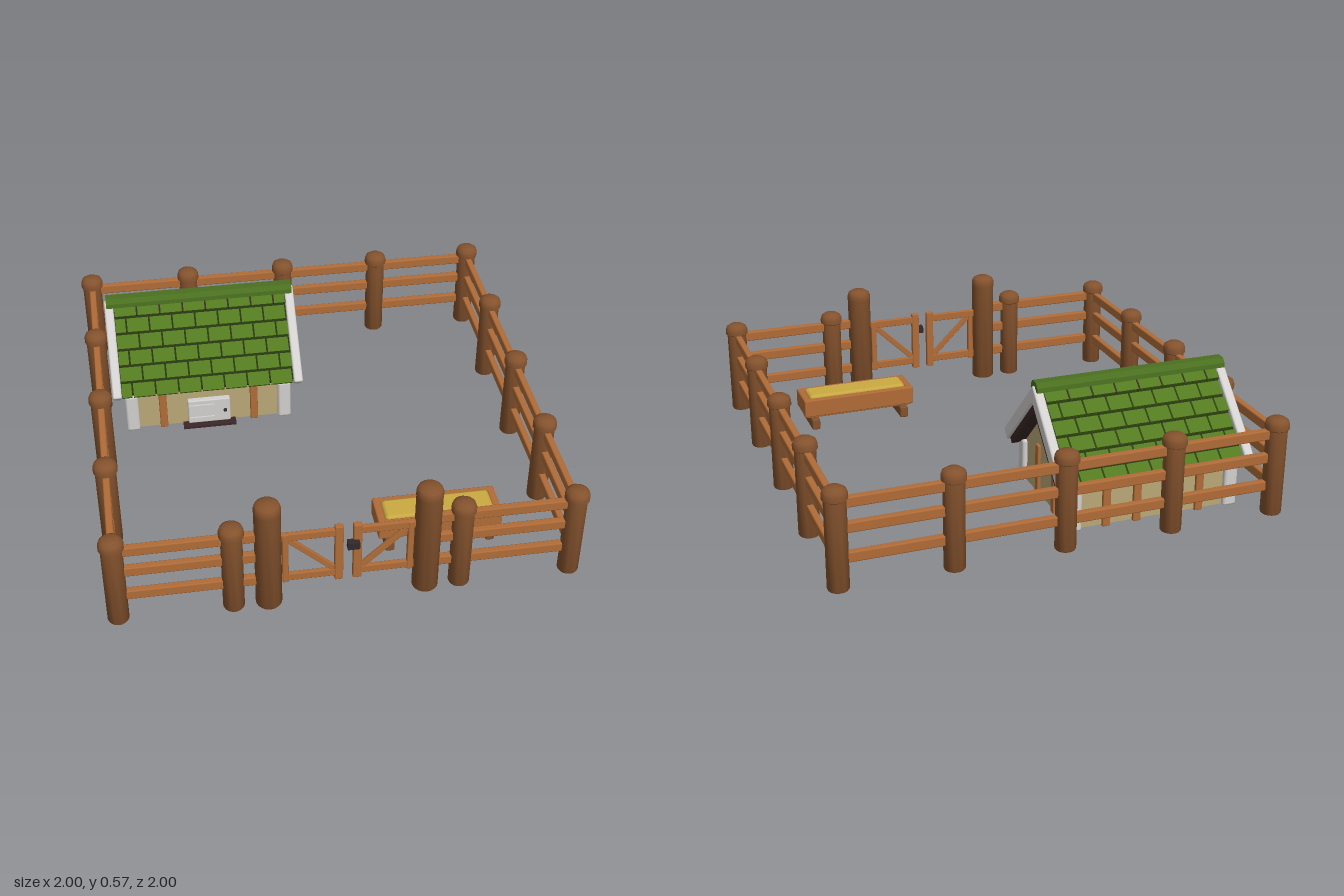
import * as THREE from 'three';
import { toCreasedNormals } from 'three/addons/utils/BufferGeometryUtils.js';
import { RoundedBoxGeometry } from 'three/addons/geometries/RoundedBoxGeometry.js';

const mat = (name, color) => {
  const m = new THREE.MeshStandardMaterial({ color });
  m.name = name;
  return m;
};

export function createModel() {
  const postWood = mat('post wood', 0x84522d);
  const railWood = mat('rail wood', 0xb06c38);
  const moss = mat('roof green', 0x537a20);
  const mossDark = mat('dark roof gaps', 0x25330f);
  const ridgeGreen = mat('ridge green', 0x4b7020);
  const stone = mat('pale trim', 0xd2d1cf);
  const plaster = mat('plaster', 0xbaa877);
  const eaveDark = mat('dark eaves', 0x3a2827);
  const hayYellow = mat('hay', 0xcbaa42);
  const iron = mat('iron', 0x33292a);

  const model = new THREE.Group();
  model.name = 'paddock';
  const group = (name, parent = model) => {
    const g = new THREE.Group();
    g.name = name;
    parent.add(g);
    return g;
  };
  const add = (parent, name, geo, material, x = 0, y = 0, z = 0) => {
    const m = new THREE.Mesh(geo, material);
    m.name = name;
    m.position.set(x, y, z);
    parent.add(m);
    return m;
  };
  // box with slightly eased edges
  const beam = (parent, name, material, w, h, d, x, y, z) =>
    add(parent, name, new RoundedBoxGeometry(w, h, d, 1, Math.min(w, h, d) * 0.2), material, x, y, z);

  // --- Fence posts with domed tops ---
  const postGeometry = (r, cap, h) => toCreasedNormals(new THREE.LatheGeometry([
    [0, 0], [r * 0.93, 0], [r, 0.006], [r, h - 0.055], [cap, h - 0.05], [cap, h - 0.03],
    [cap * 0.9, h - 0.014], [cap * 0.6, h - 0.003], [0, h],
  ].map(([x, y]) => new THREE.Vector2(x, y)), 18), 0.7);
  const E = 0.947, H = E / 2;
  const fence = group('fence');
  const post = postGeometry(0.045, 0.052, 0.44);
  for (const t of [-E, -H, 0, H, E]) {
    add(fence, 'backPost', post, postWood, t, 0, -E);
    if (t !== 0) add(fence, 'frontPost', post, postWood, t, 0, E);
    if (Math.abs(t) < E) for (const s of [-1, 1]) add(fence, 'sidePost', post, postWood, s * E, 0, t);
  }
  const gatePost = postGeometry(0.055, 0.056, 0.543);
  for (const x of [-0.328, 0.328]) add(fence, 'gatePost', gatePost, postWood, x, 0, E);

  // --- Three rails on every run ---
  for (const y of [0.133, 0.26, 0.368]) {
    beam(fence, 'backRail', railWood, 2 * E, 0.045, 0.03, 0, y, -E);
    for (const s of [-1, 1]) {
      beam(fence, 'sideRail', railWood, 0.03, 0.045, 2 * E, s * E, y, 0);
      beam(fence, 'frontRail', railWood, E - 0.328, 0.045, 0.03, s * (E + 0.328) / 2, y, E);
    }
  }

  // --- Pair of gate leaves, mirrored ---
  for (const s of [-1, 1]) {
    const leaf = group(s < 0 ? 'rightGate' : 'leftGate');
    leaf.position.z = E;
    beam(leaf, 'meetingStile', railWood, 0.036, 0.29, 0.026, s * 0.038, 0.235, 0);
    beam(leaf, 'hingeStile', railWood, 0.026, 0.26, 0.024, s * 0.258, 0.235, 0);
    for (const y of [0.13, 0.348])
      beam(leaf, 'gateRail', railWood, 0.25, 0.036, 0.02, s * 0.16, y, 0);
    const brace = beam(leaf, 'brace', railWood, 0.28, 0.026, 0.016, s * 0.148, 0.238, 0);
    brace.rotation.z = s * 0.77;
  }
  add(model, 'latch', new THREE.BoxGeometry(0.05, 0.034, 0.03), iron, 0.018, 0.287, 0.967);

  // --- Feeding trough ---
  const trough = group('trough');
  trough.position.set(0.445, 0, 0.638);
  for (const s of [-1, 1]) {
    beam(trough, 'foot', postWood, 0.04, 0.055, 0.195, s * 0.22, 0.0275, 0);
    beam(trough, 'longSide', railWood, 0.54, 0.085, 0.03, 0, 0.108, s * 0.072);
    beam(trough, 'shortSide', railWood, 0.035, 0.085, 0.15, s * 0.2525, 0.108, 0);
  }
  beam(trough, 'base', railWood, 0.52, 0.025, 0.15, 0, 0.068, 0);
  beam(trough, 'hay', hayYellow, 0.475, 0.08, 0.118, 0, 0.122, 0);

  // --- Hut walls: gabled block ---
  const hut = group('hut');
  hut.position.set(-0.45, 0, -0.55);
  const gable = new THREE.Shape([[-0.27, 0.006], [0.27, 0.006], [0.27, 0.2], [0, 0.47], [-0.27, 0.2]]
    .map(([x, y]) => new THREE.Vector2(x, y)));
  const wallGeo = new THREE.ExtrudeGeometry(gable, { depth: 0.74, bevelEnabled: false });
  wallGeo.translate(0, 0, -0.37).rotateY(Math.PI / 2);
  add(hut, 'walls', wallGeo, plaster);
  for (const sx of [-1, 1]) {
    for (const sz of [-1, 1]) {
      beam(hut, 'cornerPost', stone, 0.062, 0.2, 0.062, sx * 0.36, 0.1, sz * 0.26);
      beam(hut, 'gableTimber', railWood, 0.024, 0.24, 0.034, sx * 0.372, 0.12, sz * 0.09);
      beam(hut, 'wallTimber', railWood, 0.036, 0.2, 0.024, sx * 0.215, 0.1, sz * 0.272);
    }
    beam(hut, 'backTimber', railWood, 0.036, 0.2, 0.024, sx * 0.075, 0.1, -0.272);
  }

  // --- Door with strap hinges, knob and step ---
  const door = group('door', hut);
  beam(door, 'doorPanel', stone, 0.2, 0.13, 0.03, 0, 0.085, 0.285);
  for (const y of [0.05, 0.12]) add(door, 'hinge', new THREE.BoxGeometry(0.12, 0.014, 0.01), stone, -0.035, y, 0.303);
  add(door, 'knob', new THREE.SphereGeometry(0.009, 10, 8), iron, 0.075, 0.085, 0.304);
  add(door, 'step', new THREE.BoxGeometry(0.25, 0.012, 0.06), eaveDark, 0, 0.006, 0.285);

  // --- Roof: two mirrored slopes; local +z runs down the slope ---
  for (const turn of [0, Math.PI]) {
    const side = group(turn ? 'backRoof' : 'frontRoof', hut);
    side.position.y = 0.545;
    side.rotation.y = turn;
    const slope = group('slope', side);
    slope.rotation.x = Math.PI / 4;
    add(slope, 'eaveBoard', new THREE.BoxGeometry(0.83, 0.05, 0.44), eaveDark, 0, -0.046, 0.22);
    add(slope, 'underlay', new THREE.BoxGeometry(0.81, 0.01, 0.435), mossDark, 0, -0.016, 0.22);
    for (const s of [-1, 1]) {
      beam(slope, 'vergeBoard', stone, 0.043, 0.058, 0.465, s * 0.4235, -0.018, 0.2245);
      add(slope, 'innerVerge', new THREE.BoxGeometry(0.034, 0.03, 0.44), eaveDark, s * 0.417, -0.06, 0.215);
    }
    // staggered shingles, clipped at the verges
    for (let row = 0; row < 6; row++) {
      for (let i = 0; i < 9; i++) {
        const start = -0.4 + (i - (row % 2) * 0.5) * 0.107;
        const a = Math.max(start, -0.4), b = Math.min(start + 0.099, 0.4);
        if (b - a < 0.02) continue;
        const tile = add(slope, 'shingle', new THREE.BoxGeometry(b - a, 0.016, 0.066), moss,
          (a + b) / 2, -0.002, 0.04 + row * 0.0765);
        tile.rotation.x = -0.1;
      }
    }
  }

  // --- Ridge cap ---
  const cap = new THREE.Shape([[-0.038, 0.535], [0.038, 0.535], [0.036, 0.555], [0.02, 0.575], [-0.02, 0.575], [-0.036, 0.555]]
    .map(([x, y]) => new THREE.Vector2(x, y)));
  const capGeo = new THREE.ExtrudeGeometry(cap, { depth: 0.87, bevelEnabled: false });
  capGeo.translate(0, 0, -0.435).rotateY(Math.PI / 2);
  add(hut, 'ridgeCap', capGeo, ridgeGreen);

  return model;
}
